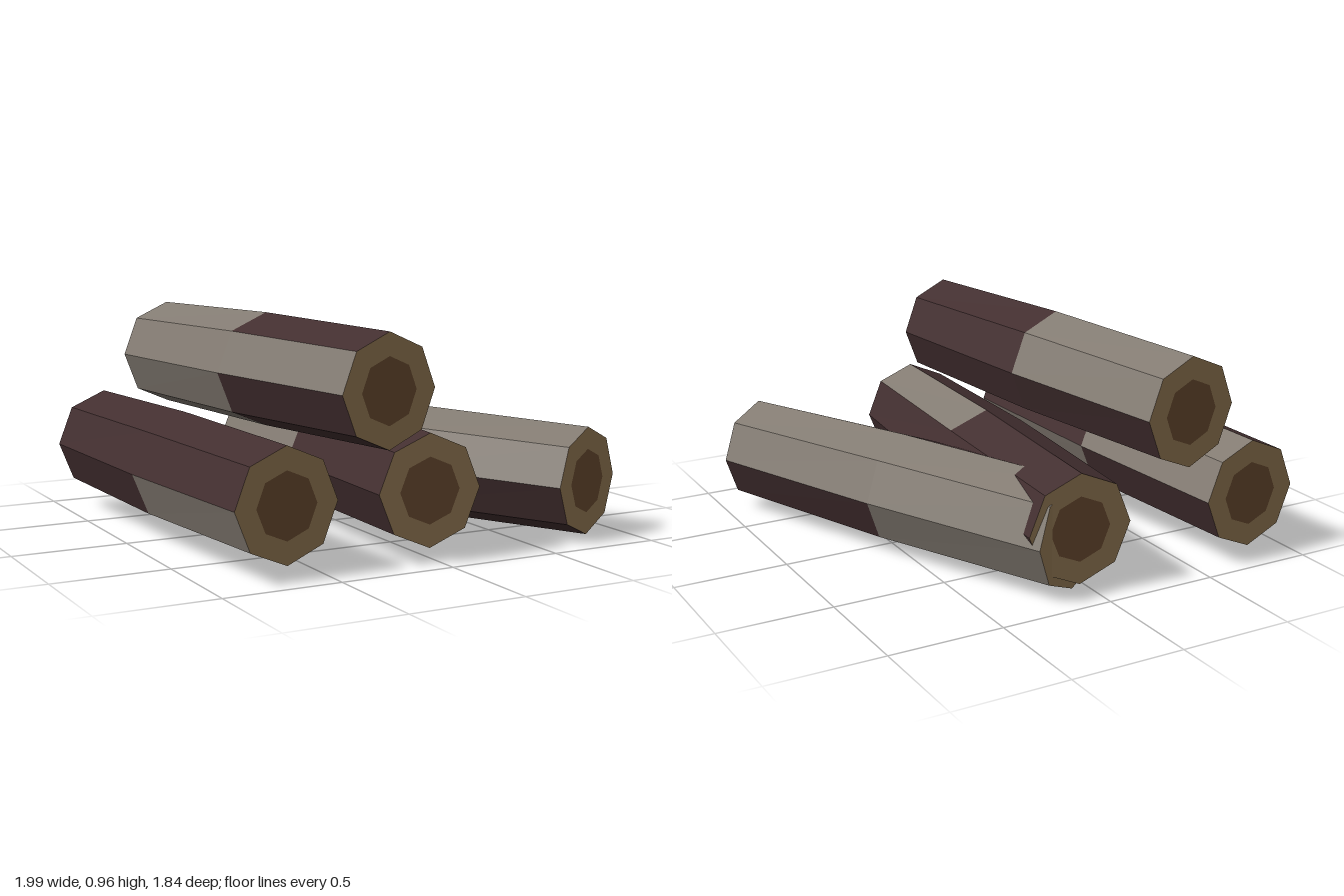
import * as THREE from 'three';

const mat = (name, color, extra = {}) => {
  const m = new THREE.MeshStandardMaterial({ color, ...extra });
  m.name = name;
  return m;
};

const SIDES = 8;

// Cross-sections from front to back: z, horizontal radius, vertical radius
const SECTIONS = [
  [0.9, 0.225, 0.234],
  [0, 0.248, 0.249],
  [-0.9, 0.23, 0.239],
];

const rim = ([z, rx, ry], i, s = 1) => {
  const a = (i / SIDES) * Math.PI * 2;
  return [Math.cos(a) * rx * s, Math.sin(a) * ry * s, z];
};

function geometryFrom(points) {
  const g = new THREE.BufferGeometry();
  g.setAttribute('position', new THREE.Float32BufferAttribute(points.flat(), 3));
  g.computeVertexNormals();
  return g;
}

// Bark panels of one shade; each pattern lists the eight panels of a half log
function barkGeometry(patterns, shade) {
  const pts = [];
  patterns.forEach((pattern, half) => {
    for (let i = 0; i < SIDES; i++) {
      if (pattern[i] !== shade) continue;
      const a = rim(SECTIONS[half], i), b = rim(SECTIONS[half], i + 1);
      const c = rim(SECTIONS[half + 1], i + 1), d = rim(SECTIONS[half + 1], i);
      pts.push(a, d, c, a, c, b);
    }
  });
  return geometryFrom(pts);
}

// Flat ring between two scales of an end section (inner 0 gives a disc)
function endGeometry(section, inner, outer) {
  const pts = [];
  const front = section[0] > 0;
  for (let i = 0; i < SIDES; i++) {
    const [p, q] = front ? [i, i + 1] : [i + 1, i];
    const a = rim(section, p, inner), b = rim(section, p, outer);
    const c = rim(section, q, outer), d = rim(section, q, inner);
    pts.push(a, b, c);
    if (inner > 0) pts.push(a, c, d);
  }
  return geometryFrom(pts);
}

export function createModel() {
  const darkBark = mat('dark bark', 0x432f30, { flatShading: true });
  const greyBark = mat('grey bark', 0x837b72, { flatShading: true });
  const sapwood = mat('sapwood', 0x9a7e58, { flatShading: true });
  const heartwood = mat('heartwood', 0x6e4e33, { flatShading: true });

  // Axis ends as [x, z], axis height, bark shades of the front and back halves
  const logs = [
    { name: 'rightLog', front: [-0.682, 0.895], back: [-0.77, -0.9], y: 0.296, bark: ['dgddgdgg', 'ggdddddd'] },
    { name: 'middleLog', front: [-0.046, 0.897], back: [0.086, -0.9], y: 0.296, bark: ['dgdddggd', 'dddggddd'] },
    { name: 'topLog', front: [-0.232, 0.89], back: [-0.445, -0.895], y: 0.707, bark: ['dddgdddd', 'ggggggdd'] },
    { name: 'leftLog', front: [0.787, 0.822], back: [0.08, -0.832], y: 0.249, bark: ['ggggdddd', 'ggdgdddg'] },
  ];

  const model = new THREE.Group();
  model.name = 'logPile';
  for (const { name, front, back, y, bark } of logs) {
    const log = new THREE.Group();
    log.name = name;
    const add = (part, geometry, material) => {
      const mesh = new THREE.Mesh(geometry, material);
      mesh.name = part;
      log.add(mesh);
    };
    add('darkBark', barkGeometry(bark, 'd'), darkBark);
    add('greyBark', barkGeometry(bark, 'g'), greyBark);

    // Sawn ends with a darker core
    for (const [label, section] of [['front', SECTIONS[0]], ['back', SECTIONS[2]]]) {
      add(label + 'Sapwood', endGeometry(section, 0.59, 1), sapwood);
      add(label + 'Heartwood', endGeometry(section, 0, 0.59), heartwood);
    }
    log.position.set((front[0] + back[0]) / 2, y, (front[1] + back[1]) / 2);
    log.rotation.y = Math.atan2(front[0] - back[0], front[1] - back[1]);
    model.add(log);
  }
  return model;
}
